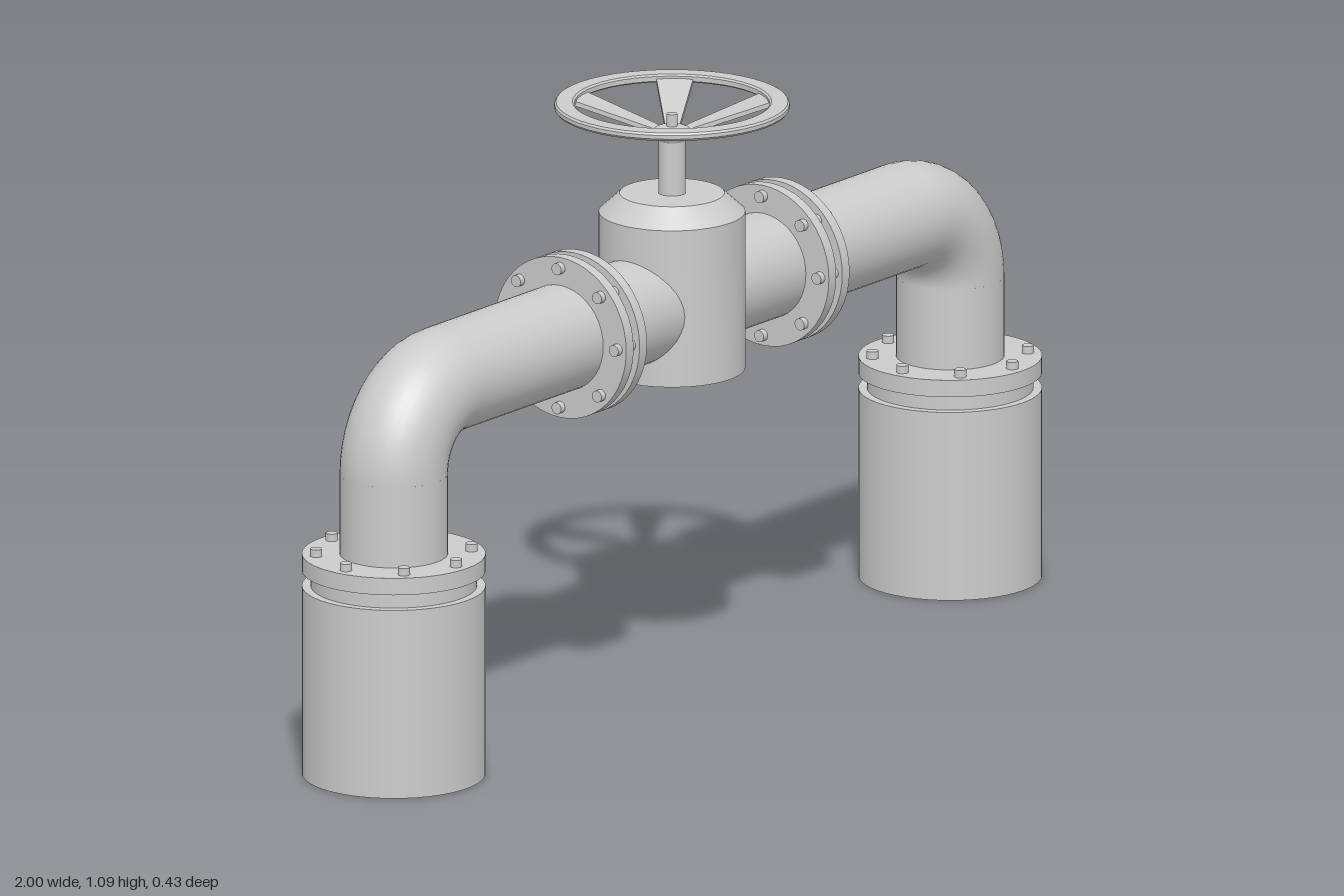
import * as THREE from 'three';
import { toCreasedNormals } from 'three/addons/utils/BufferGeometryUtils.js';

const material = new THREE.MeshStandardMaterial({ color: 0xcccccc });
const PIPE_R = 0.099, PIPE_Y = 0.715, LEG_X = 0.832, BEND = 0.145;

function add(parent, name, geometry, x = 0, y = 0, z = 0) {
  const mesh = new THREE.Mesh(geometry, material);
  mesh.name = name;
  mesh.position.set(x, y, z);
  parent.add(mesh);
  return mesh;
}

// Upright cylinder between two heights
function post(parent, name, radius, y0, y1, x = 0) {
  return add(parent, name, new THREE.CylinderGeometry(radius, radius, y1 - y0, 48), x, (y0 + y1) / 2);
}

// Solid of revolution with crisp edges
function turned(points) {
  const lathe = new THREE.LatheGeometry(points.map(([r, y]) => new THREE.Vector2(r, y)), 48);
  return toCreasedNormals(lathe, 0.5);
}

// Ring of eight bolts around the y axis
function boltRing(parent, radius, y0, y1, x = 0) {
  for (let i = 0; i < 8; i++) {
    const a = (i * Math.PI) / 4;
    const bolt = post(parent, 'bolt', 0.011, y0, y1);
    bolt.position.x = x + radius * Math.cos(a);
    bolt.position.z = radius * Math.sin(a);
  }
}

// One arm of the pipework, running towards +x and down into its base
function createArm() {
  const arm = new THREE.Group();
  const bendX = LEG_X - BEND, bendY = PIPE_Y - BEND;

  post(arm, 'base', 0.168, 0, 0.357, LEG_X);
  post(arm, 'baseNeck', 0.152, 0.35, 0.39, LEG_X);
  post(arm, 'baseFlange', 0.168, 0.386, 0.418, LEG_X);
  boltRing(arm, 0.143, 0.41, 0.432, LEG_X);

  post(arm, 'uprightPipe', PIPE_R, 0.4, bendY, LEG_X);
  add(arm, 'elbow', new THREE.TorusGeometry(BEND, PIPE_R, 40, 12, Math.PI / 2), bendX, bendY);
  add(arm, 'levelPipe', new THREE.CylinderGeometry(PIPE_R, PIPE_R, bendX, 40), bendX / 2, PIPE_Y)
    .rotation.z = Math.PI / 2;

  // Bolted joint: two discs with a gasket between them
  const joint = new THREE.Group();
  joint.name = 'pipeJoint';
  joint.position.set(0.303, PIPE_Y, 0);
  joint.rotation.z = Math.PI / 2;
  post(joint, 'innerFlange', 0.152, 0.009, 0.031);
  post(joint, 'outerFlange', 0.152, -0.031, -0.009);
  post(joint, 'gasket', 0.12, -0.01, 0.01);
  boltRing(joint, 0.132, -0.043, 0.043);
  arm.add(joint);
  return arm;
}

function createHandwheel() {
  const wheel = new THREE.Group();
  wheel.name = 'handwheel';
  add(wheel, 'rim', turned([
    [0.178, 1.076], [0.182, 1.073], [0.212, 1.073], [0.215, 1.077],
    [0.215, 1.084], [0.212, 1.088], [0.182, 1.088], [0.178, 1.085], [0.178, 1.076],
  ]));
  add(wheel, 'hub', turned([
    [0, 1.012], [0.025, 1.015], [0.034, 1.03], [0.034, 1.036], [0.02, 1.042], [0, 1.042],
  ]));
  post(wheel, 'stemTip', 0.01, 1.03, 1.065);

  // Spokes rise from the hub and widen towards the rim
  for (let i = 0; i < 5; i++) {
    const g = new THREE.BoxGeometry(1, 0.009, 1);
    const p = g.attributes.position;
    for (let k = 0; k < p.count; k++) {
      const outer = p.getX(k) > 0;
      p.setXYZ(k, outer ? 0.187 : 0.015,
        p.getY(k) + (outer ? 1.079 : 1.028),
        p.getZ(k) * (outer ? 0.07 : 0.024));
    }
    g.computeVertexNormals();
    add(wheel, 'spoke', g).rotation.y = Math.PI + (i * 2 * Math.PI) / 5;
  }
  return wheel;
}

export function createModel() {
  const model = new THREE.Group();
  model.name = 'pipeValve';

  // The two arms are half-turn copies of each other
  for (const [name, turn] of [['leftArm', 0], ['rightArm', Math.PI]]) {
    const arm = createArm();
    arm.name = name;
    arm.rotation.y = turn;
    model.add(arm);
  }

  // Valve body with chamfered bonnet
  add(model, 'valveBody', turned([
    [0, 0.583], [0.134, 0.583], [0.134, 0.88], [0.096, 0.915], [0, 0.915],
  ]));
  post(model, 'valveStem', 0.025, 0.91, 1.025);
  model.add(createHandwheel());
  return model;
}
